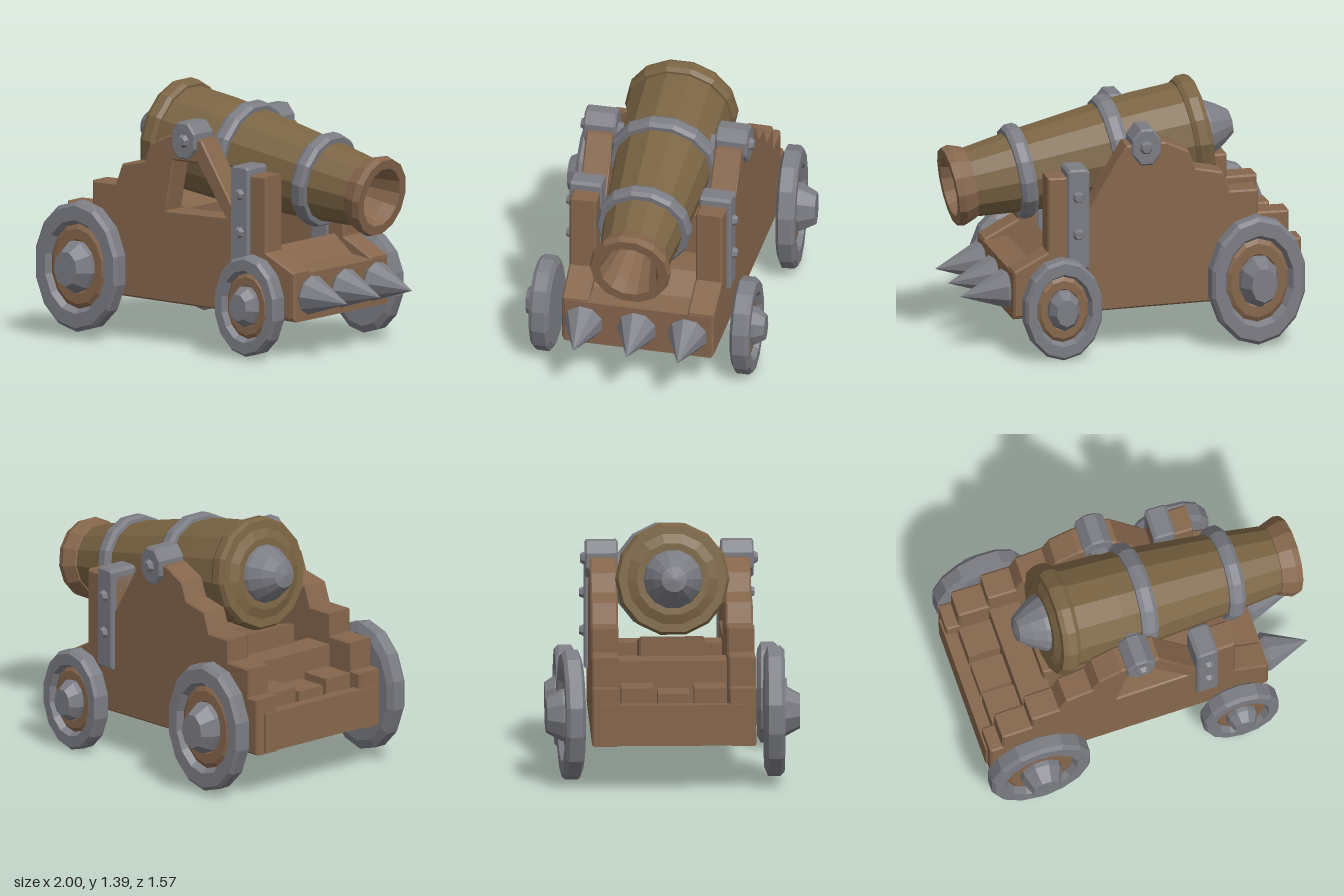
import * as THREE from 'three';

const mat = (color) => new THREE.MeshStandardMaterial({ color, flatShading: true });

export function createModel() {
  const wood = mat(0x86664c), bronze = mat(0x7a6443), steel = mat(0x7c7d84);
  const model = new THREE.Group();
  model.name = 'cannon';
  // the whole cannon is turned slightly about the vertical axis
  const turn = new THREE.Group();
  turn.name = 'turnedCannon';
  turn.rotation.y = 0.184;
  model.add(turn);
  const body = new THREE.Group();
  body.name = 'cannonBody';
  body.position.z = -0.033;
  turn.add(body);

  const add = (parent, name, geo, material, x = 0, y = 0, z = 0) => {
    const m = new THREE.Mesh(geo, material);
    m.name = name;
    m.position.set(x, y, z);
    parent.add(m);
    return m;
  };
  // wooden beam given by its limits along x and y, its centre and width along z
  const block = (name, x0, x1, y0, y1, z, w) =>
    add(body, name, new THREE.BoxGeometry(x1 - x0, y1 - y0, w), wood, (x0 + x1) / 2, (y0 + y1) / 2, z);
  const vecs = (pts) => pts.map(([a, b]) => new THREE.Vector2(a, b));
  const lathe = (pts, sides) => new THREE.LatheGeometry(vecs(pts), sides);
  // prism with an outline in x and y, centred along z
  const prism = (outline, width, hole) => {
    const shape = new THREE.Shape(vecs(outline));
    if (hole) shape.holes.push(new THREE.Path(vecs(hole)));
    const b = 0.01;
    return new THREE.ExtrudeGeometry(shape, {
      depth: width - 2 * b, bevelEnabled: true, bevelSize: b, bevelThickness: b, bevelOffset: -b, bevelSegments: 1,
    }).translate(0, 0, -width / 2 + b);
  };

  // carriage sides: stepped cheek (the near one has a triangular opening), front post, iron fittings
  const cheek = [[-0.92, 0.25], [0.69, 0.21], [0.69, 0.47], [0.5, 0.57], [0.5, 0.99], [0.27, 0.99], [0.27, 0.8],
    [0.06, 1.15], [-0.16, 1.16], [-0.29, 1.1], [-0.33, 1.0], [-0.48, 0.97], [-0.52, 0.86], [-0.68, 0.86],
    [-0.68, 0.73], [-0.85, 0.73], [-0.85, 0.57], [-0.92, 0.57]];
  const opening = [[-0.18, 0.74], [-0.13, 1.02], [0.03, 1.02], [0.22, 0.74]];
  for (const s of [1, -1]) {
    const side = new THREE.Group();
    side.name = s > 0 ? 'nearSide' : 'farSide';
    side.position.z = s * 0.01;
    side.rotation.y = s * 0.015;
    body.add(side);
    add(side, 'cheek', prism(cheek, 0.15, s > 0 ? opening : null), wood, 0, 0, s * 0.352);
    add(side, 'postStrap', prism([[0.27, 0.47], [0.395, 0.47], [0.395, 1.02], [0.38, 1.035], [0.29, 1.035], [0.27, 1.02]],
      0.18), steel, 0, 0, s * 0.36);
    for (const y of [0.67, 0.88]) {
      const bolt = add(side, 'strapBolt', new THREE.CylinderGeometry(0.022, 0.036, 0.03, 7), steel, 0.335, y, s * 0.46);
      bolt.rotation.x = s * Math.PI / 2;
    }
    // trunnion cap
    const cap = [];
    for (let i = 0; i < 8; i++) {
      const a = (i + 0.5) * Math.PI / 4;
      cap.push([0.088 * Math.cos(a), 0.11 * Math.sin(a)]);
    }
    add(side, 'trunnionCap', prism(cap, 0.18), steel, -0.05, 1.14, s * 0.36);
    const pin = add(side, 'capBolt', new THREE.CylinderGeometry(0.025, 0.042, 0.03, 7), steel, -0.045, 1.14, s * 0.46);
    pin.rotation.x = s * Math.PI / 2;
  }

  // bed, cross beams and rear steps
  add(body, 'bed', prism([[-0.9, 0.25], [0.67, 0.21], [0.67, 0.44], [-0.9, 0.44]], 0.62), wood);
  add(body, 'frontBeam', prism([[0.44, 0.21], [0.7, 0.2], [0.7, 0.46], [0.56, 0.48], [0.44, 0.58]], 0.84), wood);
  block('middleBeam', -0.12, 0.04, 0.42, 0.68, 0, 0.6);
  block('rearLip', -0.925, -0.86, 0.26, 0.48, 0, 0.8);
  for (const z of [-0.2, 0, 0.2]) block('rearStep', -0.85, -0.66, 0.4, z ? 0.56 : 0.53, z, 0.175);
  block('rearBeam', -0.67, -0.5, 0.4, 0.68, 0, 0.6);
  add(body, 'elevatingWedge', prism([[-0.52, 0.42], [-0.2, 0.42], [-0.2, 0.72], [-0.52, 0.79]], 0.36), wood);

  // front spikes
  for (const z of [-0.285, 0, 0.3]) {
    const spike = add(body, 'spike', lathe([[0, 0], [0.07, 0], [0.112, 0.05], [0, 0.3]], 9), steel, 0.67, 0.348, z);
    spike.rotation.z = -Math.PI / 2 - 0.12;
  }

  // wheels, slightly taller than long: iron rim with a closed back, wooden face, hub
  const rim = [[0, -0.055], [0.86, -0.055], [1, -0.035], [1, 0.035], [0.94, 0.055], [0.72, 0.055], [0.64, 0.01]];
  const face = [[0.68, 0.012], [0.58, 0.03], [0.42, 0.03], [0.36, 0.01], [0, 0.01]];
  const wheel = (name, x, y, s, rx, ry, hubOut, toe) => {
    const g = new THREE.Group();
    g.name = name;
    g.position.set(x, y, s * 0.555);
    g.rotation.y = (s > 0 ? 0 : Math.PI) + toe;
    g.scale.set(rx, ry, 1);
    body.add(g);
    const hub = [[0.42, 0], [0.4, 0.055], [0.27, hubOut], [0, hubOut]];
    const parts = [['rim', rim, steel, 14], ['wheelFace', face, wood, 14], ['hub', hub, steel, 9]];
    for (const [n, pts, m, sides] of parts) add(g, n, lathe(pts, sides).rotateX(Math.PI / 2), m);
  };
  wheel('nearRearWheel', -0.67, 0.4, 1, 0.29, 0.362, 0.14, -0.01);
  wheel('farRearWheel', -0.637, 0.38, -1, 0.275, 0.362, 0.14, 0.08);
  wheel('nearFrontWheel', 0.488, 0.292, 1, 0.218, 0.28, 0.11, -0.02);
  wheel('farFrontWheel', 0.457, 0.285, -1, 0.222, 0.285, 0.11, 0.02);

  // barrel, pitched towards the muzzle
  const barrel = new THREE.Group();
  barrel.name = 'barrel';
  barrel.position.y = 1.022;
  barrel.rotation.set(0, 0.015, -0.163);
  body.add(barrel);
  const turned = (name, pts, material) =>
    add(barrel, name, lathe(pts.map(([x, r]) => [r, x]), 14).rotateZ(-Math.PI / 2), material);
  turned('breechKnob', [[-0.645, 0], [-0.63, 0.07], [-0.57, 0.115], [-0.5, 0.155], [-0.45, 0.17]], steel);
  turned('barrelBody', [[-0.47, 0], [-0.48, 0.2], [-0.455, 0.265], [-0.4, 0.285], [-0.1, 0.282], [0.1, 0.27],
    [0.6, 0.225], [0.9, 0.188]], bronze);
  const band = (name, x, w, r, inner, material) => turned(name, [[x - w / 2, inner], [x - w / 2, r - 0.015],
    [x - w / 4, r], [x + w / 4, r], [x + w / 2, r - 0.015], [x + w / 2, inner]], material);
  band('breechRing', -0.41, 0.1, 0.313, 0.25, bronze);
  band('middleBand', 0.052, 0.095, 0.308, 0.24, steel);
  band('frontBand', 0.583, 0.09, 0.265, 0.19, steel);
  turned('muzzle', [[0.855, 0.17], [0.865, 0.2], [0.94, 0.227], [0.978, 0.218], [0.978, 0.165]], wood);
  turned('bore', [[0.978, 0.168], [0.9, 0.145], [0.62, 0.09], [0.6, 0]], wood);
  add(body, 'trunnion', new THREE.CylinderGeometry(0.065, 0.065, 0.8, 8).rotateX(Math.PI / 2), steel, -0.045, 1.1, 0);

  return model;
}
